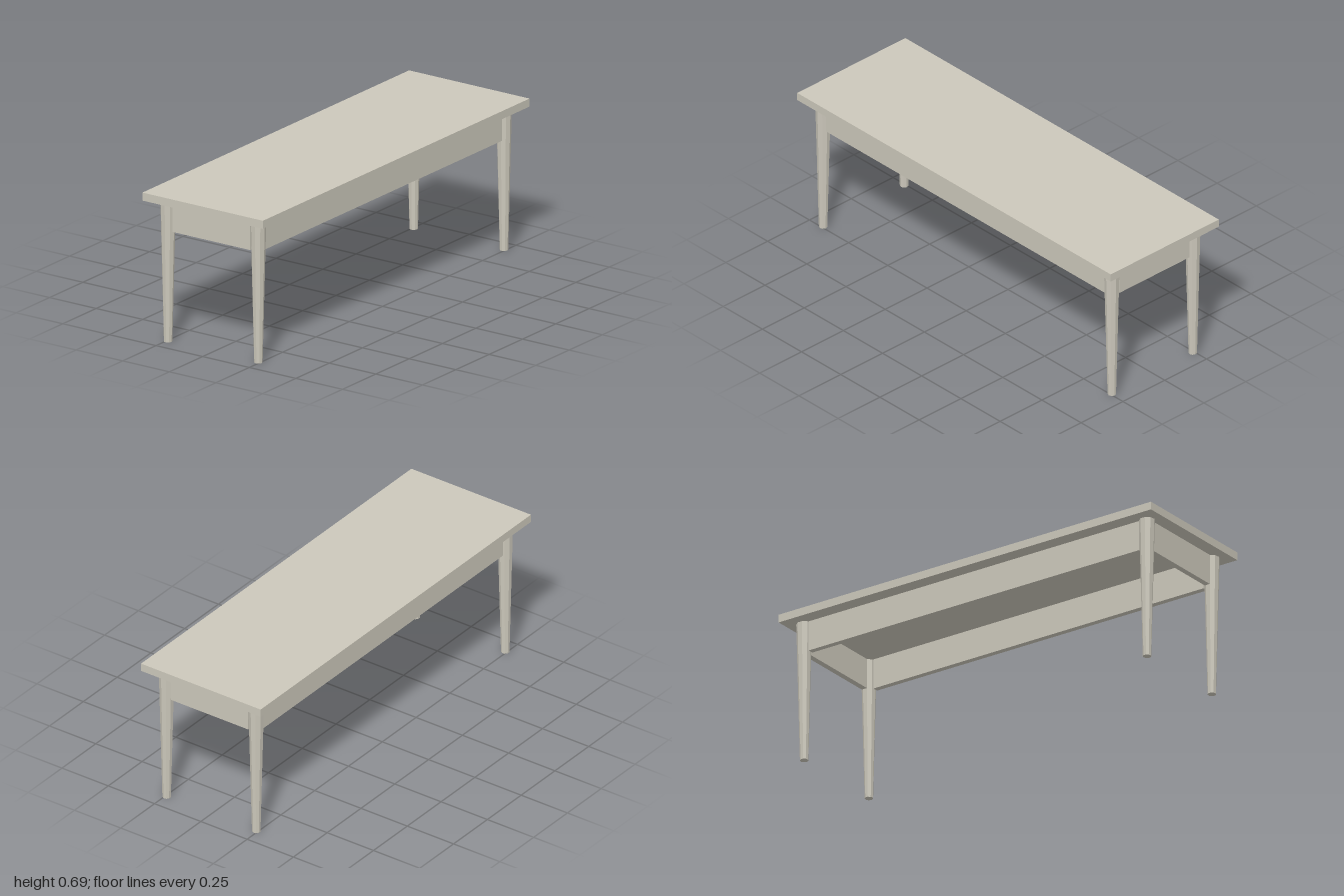
import * as THREE from 'three';

export function createModel() {
  const group = new THREE.Group();
  const paint = new THREE.MeshStandardMaterial({ color: 0xcbc7ba });
  paint.name = 'warm grey paint';
  paint.flatShading = true;

  const height = 0.692, underside = 0.655;
  const legX = 0.921, legZ = 0.242, legRadius = 0.035;
  const apronHeight = 0.14, apronThickness = 0.027;

  function add(name, geometry, x, y, z) {
    const mesh = new THREE.Mesh(geometry, paint);
    mesh.name = name;
    mesh.position.set(x, y, z);
    group.add(mesh);
  }

  // Flat slab top
  add('tableTop', new THREE.BoxGeometry(2, height - underside, 0.646), 0, (height + underside) / 2, 0);

  // Four tapered nine-sided legs
  const legGeometry = new THREE.CylinderGeometry(legRadius, 0.019, underside, 9);
  for (const x of [-1, 1]) {
    for (const z of [-1, 1]) {
      const name = (z > 0 ? 'front' : 'back') + (x > 0 ? 'Left' : 'Right') + 'Leg';
      add(name, legGeometry, x * legX, underside / 2, z * legZ);
    }
  }

  // Apron boards spanning between the legs
  const apronY = underside - apronHeight / 2;
  const longApron = new THREE.BoxGeometry(2 * (legX - 0.034), apronHeight, apronThickness);
  const endApron = new THREE.BoxGeometry(apronThickness, apronHeight, 2 * (legZ - 0.034));
  for (const s of [-1, 1]) {
    add(s > 0 ? 'frontApron' : 'backApron', longApron, 0, apronY, s * legZ);
    add(s > 0 ? 'leftApron' : 'rightApron', endApron, s * legX, apronY, 0);
  }

  return group;
}
